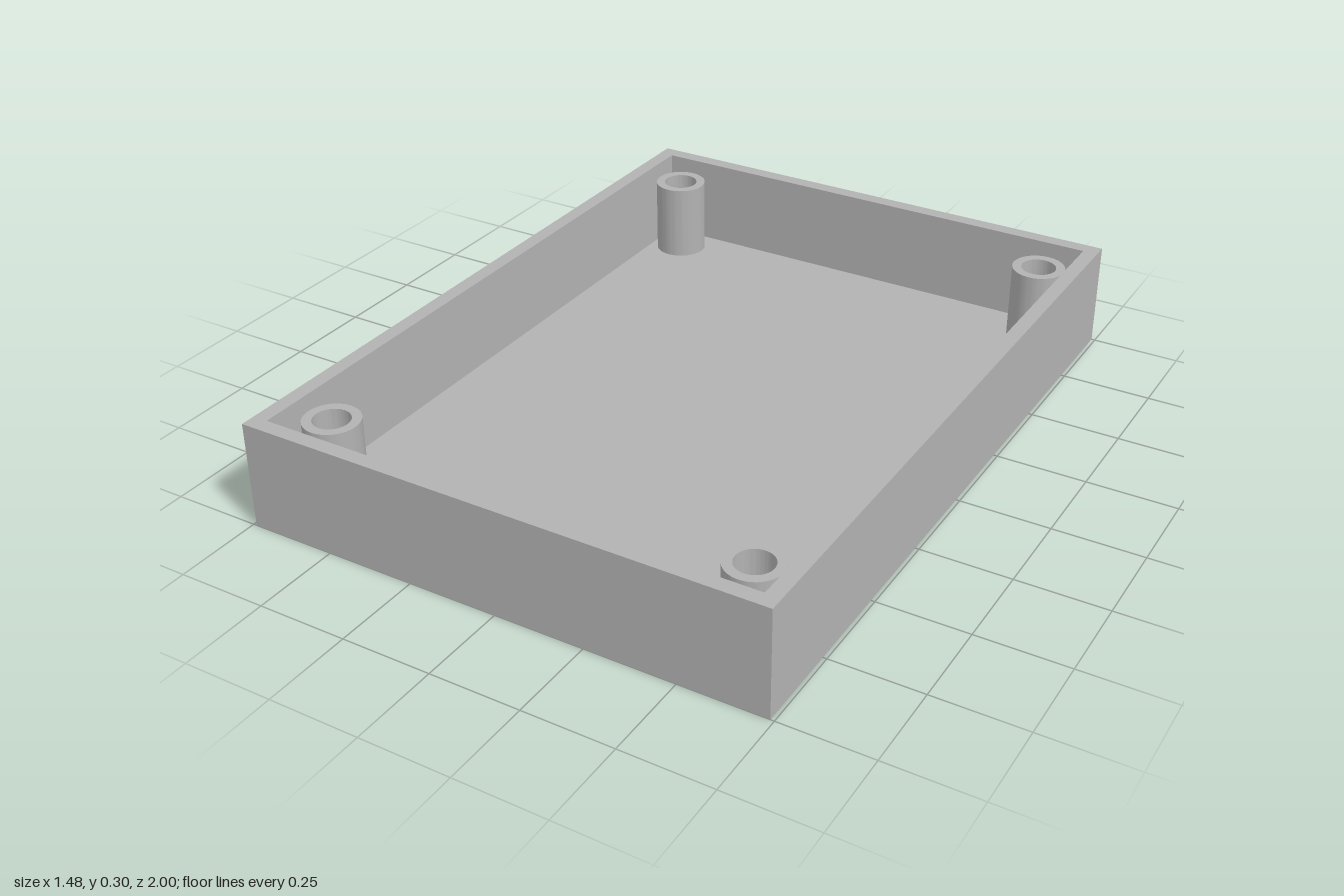
import * as THREE from 'three';
import { toCreasedNormals } from 'three/addons/utils/BufferGeometryUtils.js';

const HALF_X = 0.74, HALF_Z = 1, HEIGHT = 0.3, WALL = 0.042, FLOOR = 0.04;
const POST_TOP = 0.265, POST_R = 0.076, BORE_R = 0.05;
const POST_X = [-0.607, 0.602], POST_Z = [-0.862, 0.828];

function rectangle(Type, hx, hz) {
  return new Type([[-hx, -hz], [hx, -hz], [hx, hz], [-hx, hz]].map(([x, y]) => new THREE.Vector2(x, y)));
}

function circle(Type, x, z, r) {
  const c = new Type();
  c.absarc(x, -z, r, 0, Math.PI * 2, false);
  return c;
}

// Extrudes a plan shape upward from y0 to y1
function slab(name, shape, y0, y1, material) {
  const geo = new THREE.ExtrudeGeometry(shape, { depth: y1 - y0, bevelEnabled: false, curveSegments: 32 });
  geo.rotateX(-Math.PI / 2).translate(0, y0, 0);
  const mesh = new THREE.Mesh(toCreasedNormals(geo, 0.6), material);
  mesh.name = name;
  return mesh;
}

export function createModel() {
  const group = new THREE.Group();
  group.name = 'enclosureTray';
  const grey = new THREE.MeshStandardMaterial({ color: 0xb2b2b2 });
  grey.name = 'light grey';

  // Floor plate pierced by the screw holes
  const floor = rectangle(THREE.Shape, HALF_X, HALF_Z);
  // Rim of four walls
  const rim = rectangle(THREE.Shape, HALF_X, HALF_Z);
  rim.holes.push(rectangle(THREE.Path, HALF_X - WALL, HALF_Z - WALL));

  // Hollow screw posts, slightly lower than the rim
  for (const x of POST_X) for (const z of POST_Z) {
    floor.holes.push(circle(THREE.Path, x, z, BORE_R));
    const post = circle(THREE.Shape, x, z, POST_R);
    post.holes.push(circle(THREE.Path, x, z, BORE_R));
    const side = (z > 0 ? 'front' : 'back') + (x > 0 ? 'Left' : 'Right');
    group.add(slab(side + 'Post', post, FLOOR, POST_TOP, grey));
  }

  group.add(slab('floor', floor, 0, FLOOR, grey));
  group.add(slab('walls', rim, FLOOR, HEIGHT, grey));
  return group;
}
